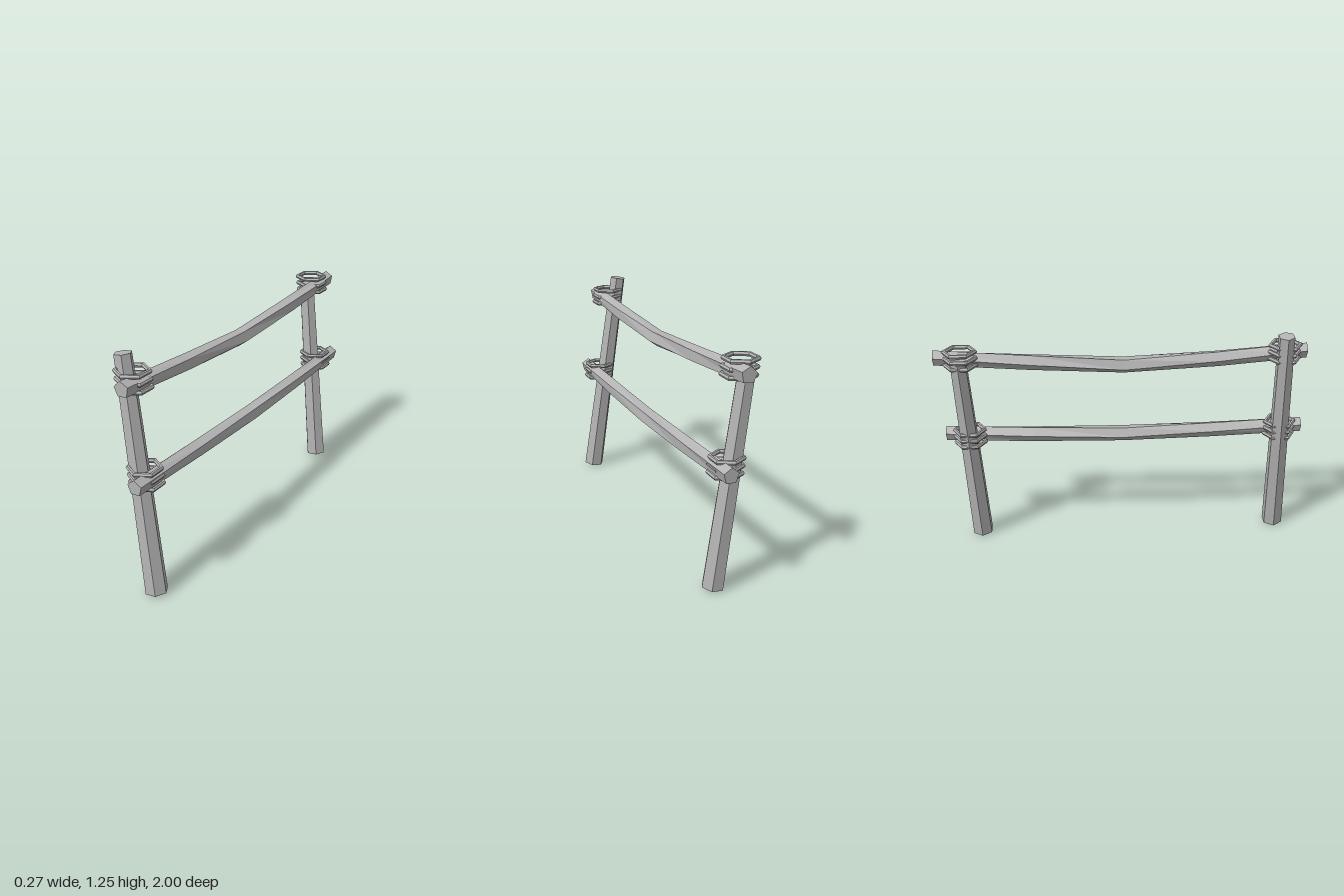
import * as THREE from 'three';

const V = (x, y, z) => new THREE.Vector3(x, y, z);

// Faceted beam swept along z: each section is [x, y, z, radius, turn in degrees]
function railGeometry(sections, sides = 5) {
  const pos = [], idx = [];
  for (const [x, y, z, r, turn] of sections) {
    for (let i = 0; i < sides; i++) {
      const a = (turn + (360 / sides) * i) * Math.PI / 180;
      pos.push(x + r * Math.cos(a), y + r * Math.sin(a), z);
    }
  }
  const last = (sections.length - 1) * sides;
  for (let s = 0; s < last; s += sides) {
    for (let i = 0; i < sides; i++) {
      const j = (i + 1) % sides;
      idx.push(s + i, s + sides + i, s + j, s + j, s + sides + i, s + sides + j);
    }
  }
  // End caps
  for (let i = 1; i < sides - 1; i++) {
    idx.push(0, i, i + 1, last, last + i + 1, last + i);
  }
  const g = new THREE.BufferGeometry();
  g.setAttribute('position', new THREE.Float32BufferAttribute(pos, 3));
  g.setIndex(idx);
  const flat = g.toNonIndexed();
  flat.computeVertexNormals();
  return flat;
}

export function createModel() {
  const model = new THREE.Group();
  model.name = 'fence';
  const grey = new THREE.MeshStandardMaterial({ color: 0xb4b4b4, flatShading: true });
  grey.name = 'plain grey';

  const add = (name, geometry) => {
    const mesh = new THREE.Mesh(geometry, grey);
    mesh.name = name;
    model.add(mesh);
    return mesh;
  };

  // Leaning six-sided posts, tapered towards the top
  const addPost = (name, base, top, rBase, rTop) => {
    const axis = top.clone().sub(base);
    const g = new THREE.CylinderGeometry(rTop, rBase, axis.length(), 6);
    g.rotateY(Math.PI / 2);
    const post = add(name, g);
    post.position.copy(base).add(top).multiplyScalar(0.5);
    post.quaternion.setFromUnitVectors(V(0, 1, 0), axis.normalize());
  };
  addPost('frontPost', V(0.075, 0.009, 0.895), V(-0.095, 1.241, 0.84), 0.06, 0.045);
  addPost('backPost', V(0.075, 0.009, -0.828), V(-0.055, 1.125, -0.865), 0.06, 0.046);

  // Sagging five-sided rails
  add('upperRail', railGeometry([
    [-0.003, 1.129, 0.975, 0.042, 98],
    [0.002, 1.091, 0.5, 0.044, 112],
    [0.008, 1.063, 0, 0.045, 126],
    [0.010, 1.093, -0.5, 0.044, 112],
    [0.010, 1.130, -1.0, 0.042, 98],
  ]));
  add('lowerRail', railGeometry([
    [0.060, 0.655, 1.0, 0.042, 93],
    [0.064, 0.638, 0.5, 0.044, 106],
    [0.068, 0.626, 0, 0.045, 118],
    [0.070, 0.638, -0.5, 0.044, 106],
    [0.072, 0.657, -0.98, 0.042, 93],
  ]));

  // Three rope loops bind each rail to each post
  const loop = new THREE.TorusGeometry(0.08, 0.012, 6, 6);
  loop.rotateX(Math.PI / 2);
  loop.rotateY(Math.PI / 2);
  const joints = [
    ['upperFront', -0.03, 1.132, 0.853],
    ['upperBack', -0.02, 1.132, -0.858],
    ['lowerFront', 0.028, 0.655, 0.873],
    ['lowerBack', 0.03, 0.655, -0.846],
  ];
  for (const [name, x, y, z] of joints) {
    for (let i = -1; i <= 1; i++) {
      add(name + 'RopeLoop', loop).position.set(x - i * 0.004, y + i * 0.038, z);
    }
  }
  return model;
}
